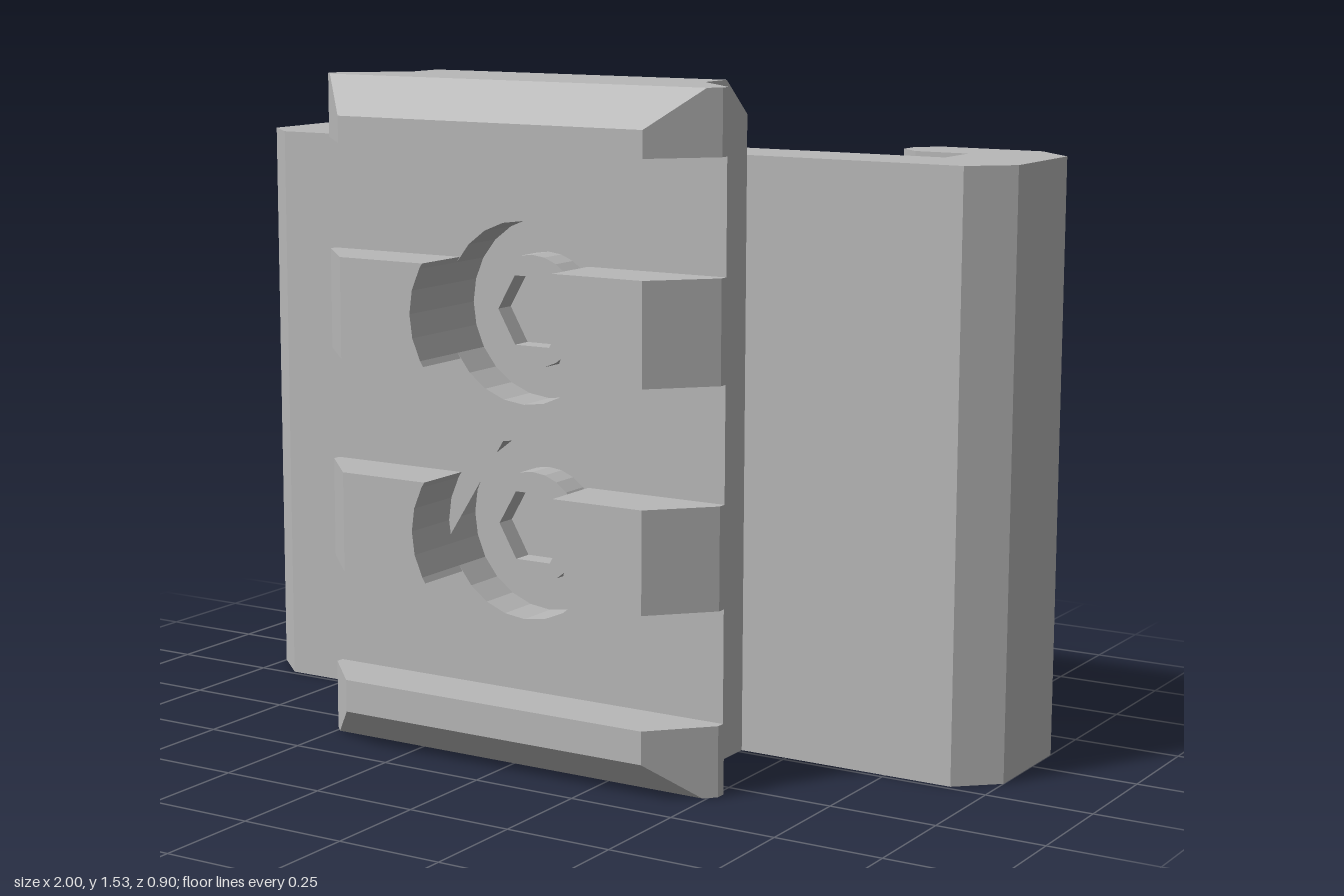
import * as THREE from 'three';

const SCREW_Y = [0.53, 1.02];
const BORE = 0.205, TOP = 1.535;

// Dovetail half width and end chamfers as functions of depth
const halfWidth = z => z > 0.325
  ? 0.515 - 0.12 * (z - 0.325) / 0.125
  : Math.min(0.515, 0.385 + 0.13 * (z - 0.175) / 0.125);
const endInset = z => Math.max(0, (z - 0.35) * 0.85);

const shapeOf = pts => new THREE.Shape(pts.map(p => new THREE.Vector2(p[0], p[1])));
const ring = (n, r, cy) => Array.from({ length: n }, (_, i) => {
  const a = i * 2 * Math.PI / n;
  return new THREE.Vector2(r * Math.cos(a), cy + r * Math.sin(a));
});
const rect = (y0, y1) => shapeOf([[-1, y0], [1, y0], [1, y1], [-1, y1]]);

// Extrude an outline through the depths zs; edges at x = +-1 follow the dovetail
function slab(shape, zs) {
  const steps = zs.length - 1;
  const geo = new THREE.ExtrudeGeometry(shape, { depth: steps, steps, bevelEnabled: false });
  const p = geo.attributes.position;
  for (let i = 0; i < p.count; i++) {
    const z = zs[Math.round(p.getZ(i))];
    let x = p.getX(i), y = p.getY(i);
    if (Math.abs(x) > 0.9) x = Math.sign(x) * halfWidth(z);
    if (y > TOP - 0.01) y = TOP - endInset(z);
    if (y < 0.01) y = endInset(z);
    p.setXYZ(i, x, y, z);
  }
  geo.computeVertexNormals();
  return geo;
}

export function createModel() {
  const group = new THREE.Group();
  const grey = new THREE.MeshStandardMaterial({ color: 0xb8b8b8 });
  grey.name = 'grey';
  const add = (name, geo, parent = group) => {
    const mesh = new THREE.Mesh(geo, grey);
    mesh.name = name;
    parent.add(mesh);
    return mesh;
  };

  // Back bracket with two hooked edges, profile in x and z
  const half = [[0.91, -0.013], [1, -0.095], [1, -0.355], [0.9, -0.45], [0.655, -0.45],
    [0.605, -0.405], [0.605, -0.35], [0.655, -0.305], [0.785, -0.305], [0.785, -0.185]];
  const profile = [...half, ...half.map(([x, z]) => [-x, z]).reverse()];
  const bracket = new THREE.ExtrudeGeometry(shapeOf(profile.map(([x, z]) => [x, -z])),
    { depth: 1.365, bevelEnabled: false });
  bracket.rotateX(-Math.PI / 2);
  add('bracket', bracket);

  // Rail stem with a sloped upper back edge
  const stem = new THREE.ExtrudeGeometry(
    shapeOf([[0.013, 0], [-0.175, 0], [-0.175, TOP], [-0.08, TOP], [0.013, 1.455]]),
    { depth: 0.77, bevelEnabled: false });
  stem.rotateY(Math.PI / 2).translate(-0.385, 0, 0);
  add('railStem', stem);

  // Dovetail body: solid floor, then a layer with the screw bores
  add('railFloor', slab(rect(0, TOP), [0.175, 0.2]));
  const bored = rect(0, TOP);
  for (const y of SCREW_Y) bored.holes.push(new THREE.Path(ring(24, BORE, y)));
  add('railBody', slab(bored, [0.2, 0.3, 0.305]));

  // End ridges with chamfered outer edges
  const ridgeZ = [0.305, 0.325, 0.35, 0.45];
  add('bottomRidge', slab(rect(0, 0.16), ridgeZ));
  add('topRidge', slab(rect(1.39, TOP), ridgeZ));

  // Middle ridges, each parted by its screw bore
  const h = 0.115, cut = Math.asin(h / BORE);
  const arc = [cut, Math.PI / 6, Math.PI / 12, 0, -Math.PI / 12, -Math.PI / 6, -cut];
  for (const y of SCREW_Y) {
    for (const s of [-1, 1]) {
      const pts = [[s, y - h], [s, y + h],
        ...arc.map(a => [s * BORE * Math.cos(a), y + BORE * Math.sin(a)])];
      add('middleRidge', slab(shapeOf(pts), ridgeZ));
    }
  }

  // Socket screws
  for (const y of SCREW_Y) {
    const screw = new THREE.Group();
    screw.name = 'screw';
    screw.position.set(0, y, 0.2);
    const head = new THREE.Shape(ring(24, 0.127, 0));
    head.holes.push(new THREE.Path(ring(6, 0.09, 0)));
    add('screwHead', new THREE.ExtrudeGeometry(head, { depth: 0.07, bevelEnabled: false }), screw);
    const floor = new THREE.CylinderGeometry(0.1, 0.1, 0.02, 24);
    floor.rotateX(Math.PI / 2).translate(0, 0, 0.01);
    add('socketFloor', floor, screw);
    group.add(screw);
  }
  return group;
}
